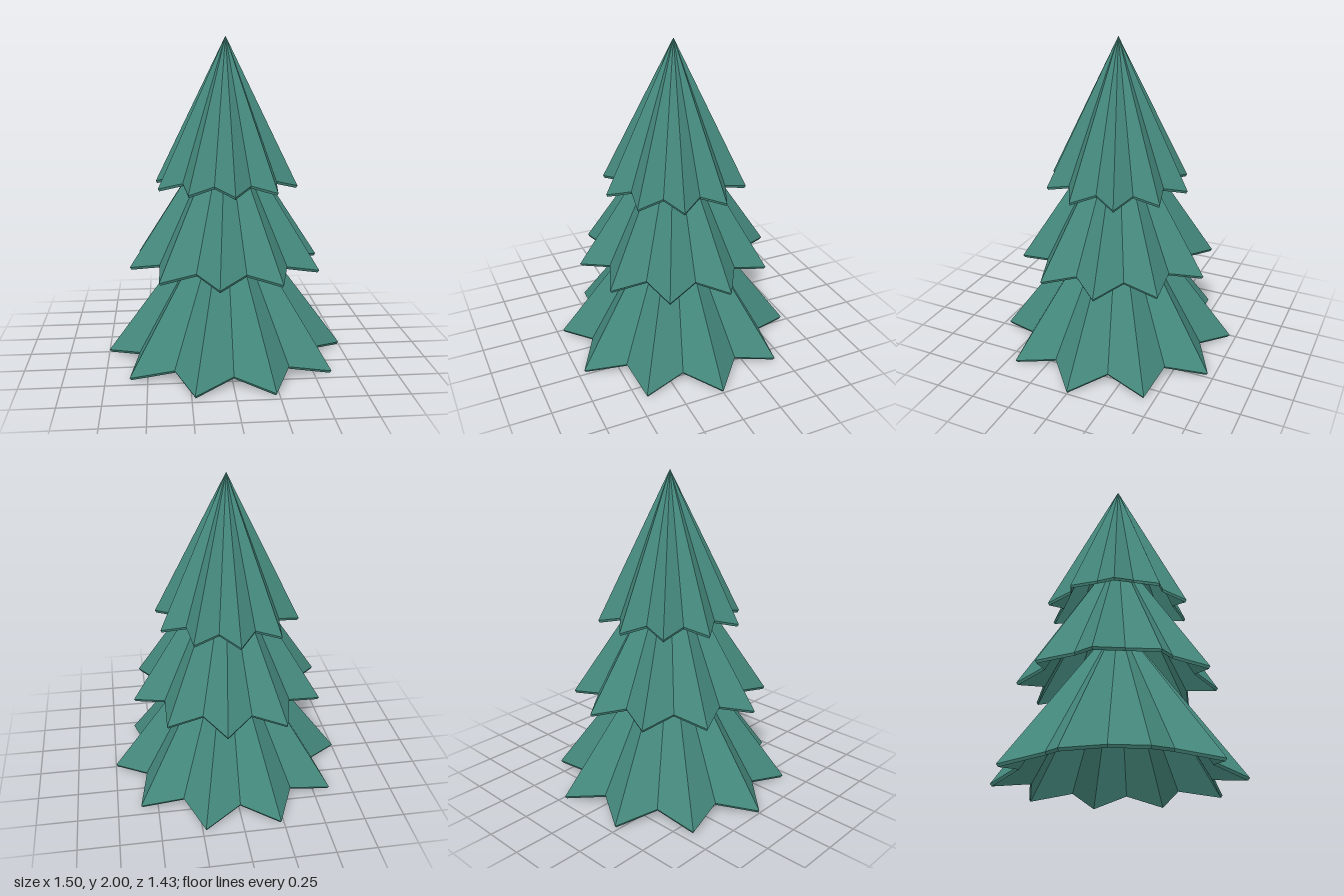
import * as THREE from 'three';

const POINTS = 10;

// One tier of branches: a pleated star cone with a thin rim and a hollow underside.
function makeTier({ name, tipR, tipY, valleyR, valleyY, apexY, turn }, material) {
  const ring = (scale, drop) => Array.from({ length: POINTS * 2 }, (_, i) => {
    const a = THREE.MathUtils.degToRad(turn) + (i * Math.PI) / POINTS;
    const isTip = i % 2 === 0;
    const r = (isTip ? tipR : valleyR) * scale;
    return [Math.cos(a) * r, (isTip ? tipY : valleyY) - drop, Math.sin(a) * r];
  });
  const outer = ring(1, 0);
  const lower = ring(0.982, 0.015);
  const top = [0, apexY, 0];
  const innerTop = [0, apexY - 0.04, 0];

  const pos = [];
  for (let i = 0; i < outer.length; i++) {
    const j = (i + 1) % outer.length;
    pos.push(...top, ...outer[j], ...outer[i]); // outside slope
    pos.push(...outer[i], ...outer[j], ...lower[j]); // rim
    pos.push(...outer[i], ...lower[j], ...lower[i]);
    pos.push(...innerTop, ...lower[i], ...lower[j]); // underside
  }
  const geometry = new THREE.BufferGeometry();
  geometry.setAttribute('position', new THREE.Float32BufferAttribute(pos, 3));
  geometry.computeVertexNormals();
  const mesh = new THREE.Mesh(geometry, material);
  mesh.name = name;
  return mesh;
}

export function createModel() {
  const tree = new THREE.Group();
  tree.name = 'firTree';
  const needles = new THREE.MeshStandardMaterial({ color: 0x45897d, flatShading: true });

  // Each tier is smaller, steeper and turned a little further.
  const tiers = [
    { name: 'bottomBranches', tipR: 0.75, tipY: 0.015, valleyR: 0.58, valleyY: 0.065, apexY: 1.03, turn: 0 },
    { name: 'middleBranches', tipR: 0.613, tipY: 0.597, valleyR: 0.475, valleyY: 0.643, apexY: 1.52, turn: -10.3 },
    { name: 'topBranches', tipR: 0.45, tipY: 1.098, valleyR: 0.35, valleyY: 1.14, apexY: 2, turn: -20.6 },
  ];
  for (const tier of tiers) tree.add(makeTier(tier, needles));
  return tree;
}
